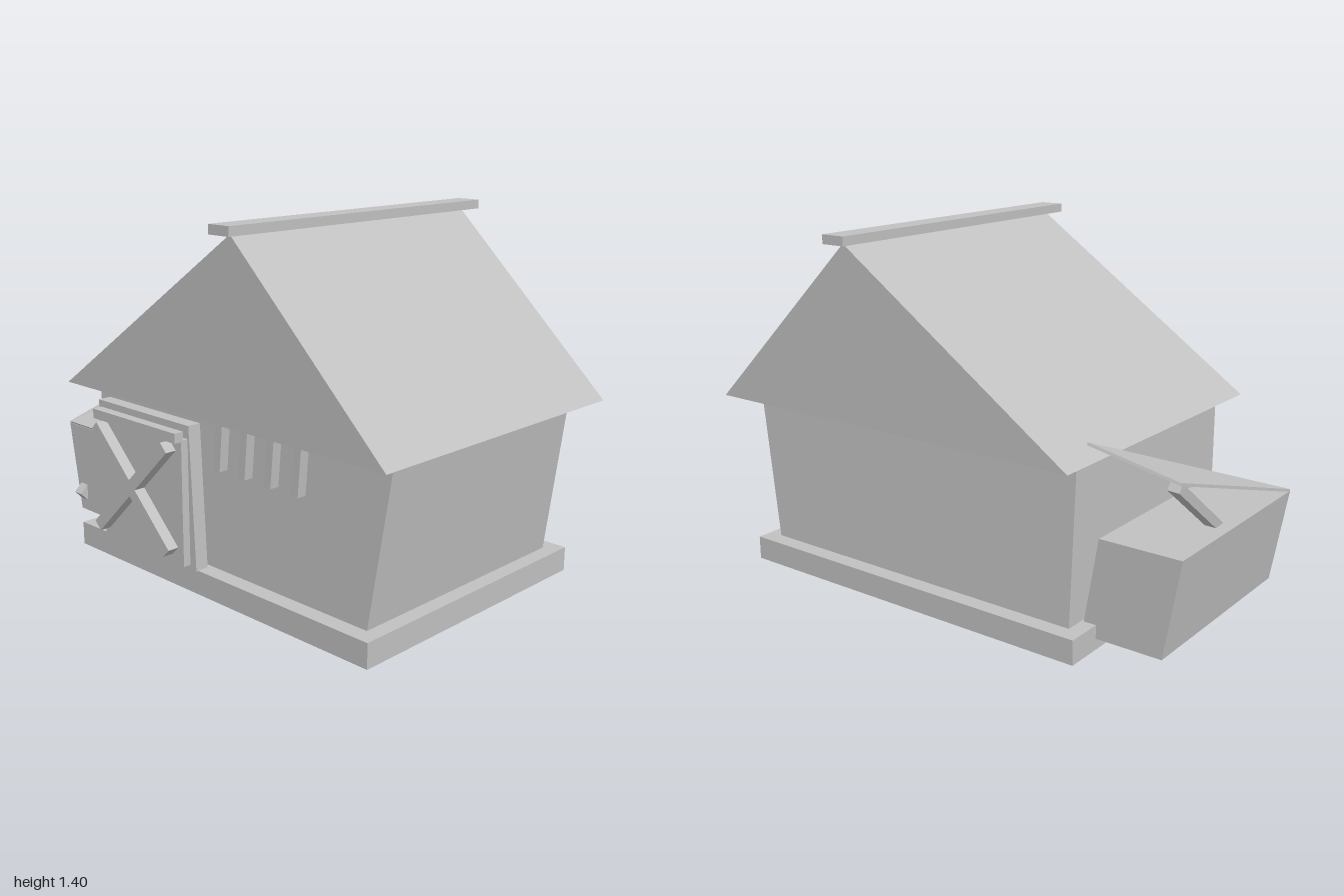
import * as THREE from 'three';

const grey = new THREE.MeshStandardMaterial({ color: 0xc0c0c0 });
grey.name = 'plain grey';

// Flat-faced block from two corner loops: front-left, front-right, back-right, back-left
function block(name, bottom, top) {
  const pos = [];
  const quad = (a, b, c, d) => pos.push(...a, ...b, ...c, ...a, ...c, ...d);
  quad(...top);
  quad(bottom[3], bottom[2], bottom[1], bottom[0]);
  for (let i = 0; i < 4; i++) {
    const j = (i + 1) % 4;
    quad(bottom[i], bottom[j], top[j], top[i]);
  }
  const geometry = new THREE.BufferGeometry();
  geometry.setAttribute('position', new THREE.Float32BufferAttribute(pos, 3));
  geometry.computeVertexNormals();
  const mesh = new THREE.Mesh(geometry, grey);
  mesh.name = name;
  return mesh;
}

// Rectangular corner loop at height y
const loop = (x0, x1, y, z0, z1) => [[x0, y, z1], [x1, y, z1], [x1, y, z0], [x0, y, z0]];

// Straight box between two limits on each axis
const slab = (name, x0, x1, y0, y1, z0, z1) =>
  block(name, loop(x0, x1, y0, z0, z1), loop(x0, x1, y1, z0, z1));

// Square bar running from one point to another
function bar(name, from, to, width, depth) {
  const a = new THREE.Vector3(...from), b = new THREE.Vector3(...to);
  const mesh = new THREE.Mesh(new THREE.BoxGeometry(width, a.distanceTo(b), depth), grey);
  mesh.position.copy(a).add(b).multiplyScalar(0.5);
  mesh.quaternion.setFromUnitVectors(new THREE.Vector3(0, 1, 0), b.sub(a).normalize());
  mesh.name = name;
  return mesh;
}

export function createModel() {
  const model = new THREE.Group();
  model.name = 'barn';

  // Foundation and flared walls
  model.add(slab('foundation', -0.67, 0.9, 0, 0.095, -0.585, 0.58));
  model.add(block('walls',
    loop(-0.61, 0.84, 0.095, -0.52, 0.515),
    loop(-0.62, 0.93, 0.7, -0.5, 0.497)));

  // Solid lopsided gable roof with a ridge board
  const gable = new THREE.Shape([
    new THREE.Vector2(-0.67, 0.7), new THREE.Vector2(1, 0.7), new THREE.Vector2(0.305, 1.37),
  ]);
  const roof = new THREE.Mesh(
    new THREE.ExtrudeGeometry(gable, { depth: 1.25, bevelEnabled: false }), grey);
  roof.position.z = -0.63;
  roof.name = 'roof';
  model.add(roof);
  model.add(slab('ridgeBoard', 0.255, 0.355, 1.37, 1.405, -0.68, 0.67));

  // Sliding door: leaning backing frame, panel, rail and crossed braces
  const door = new THREE.Group();
  door.name = 'door';
  door.add(block('doorFrame',
    loop(-0.485, 0.058, 0.092, 0.532, 0.587),
    loop(-0.515, 0.03, 0.65, 0.532, 0.587)));
  door.add(slab('doorPanel', -0.457, 0.024, 0.11, 0.6, 0.586, 0.618));
  door.add(slab('doorRail', -0.46, 0.033, 0.598, 0.636, 0.615, 0.655));
  for (const s of [-1, 1]) {
    door.add(bar('doorBrace',
      [-0.215 - s * 0.21, 0.172, 0.656], [-0.215 + s * 0.21, 0.58, 0.656], 0.046, 0.046));
  }
  model.add(door);

  // Row of leaning vent slats
  for (let i = 0; i < 4; i++) {
    const x = 0.145 + i * 0.131;
    model.add(block('ventSlat',
      loop(x, x + 0.033, 0.505, 0.532, 0.57),
      loop(x + 0.017, x + 0.05, 0.69, 0.532, 0.57)));
  }

  // Leaning side bin with a propped lid and a front latch
  const bin = new THREE.Group();
  bin.name = 'sideBin';
  bin.add(block('binBody',
    loop(-0.935, -0.61, 0.043, -0.44, 0.4),
    loop(-1, -0.675, 0.42, -0.44, 0.4)));
  const lid = [[-1, 0.427, 0.4], [-0.62, 0.427, 0.4], [-0.62, 0.755, -0.435], [-0.98, 0.685, -0.435]];
  bin.add(block('binLid', lid.map(([x, y, z]) => [x, y - 0.01, z - 0.004]), lid));
  bin.add(bar('lidProp', [-0.925, 0.405, -0.06], [-0.957, 0.665, -0.432], 0.045, 0.035));
  const latch = new THREE.Mesh(new THREE.BoxGeometry(0.045, 0.064, 0.064), grey);
  latch.position.set(-0.913, 0.125, 0.39);
  latch.rotation.x = Math.PI / 4;
  latch.name = 'binLatch';
  bin.add(latch);
  model.add(bin);

  return model;
}
